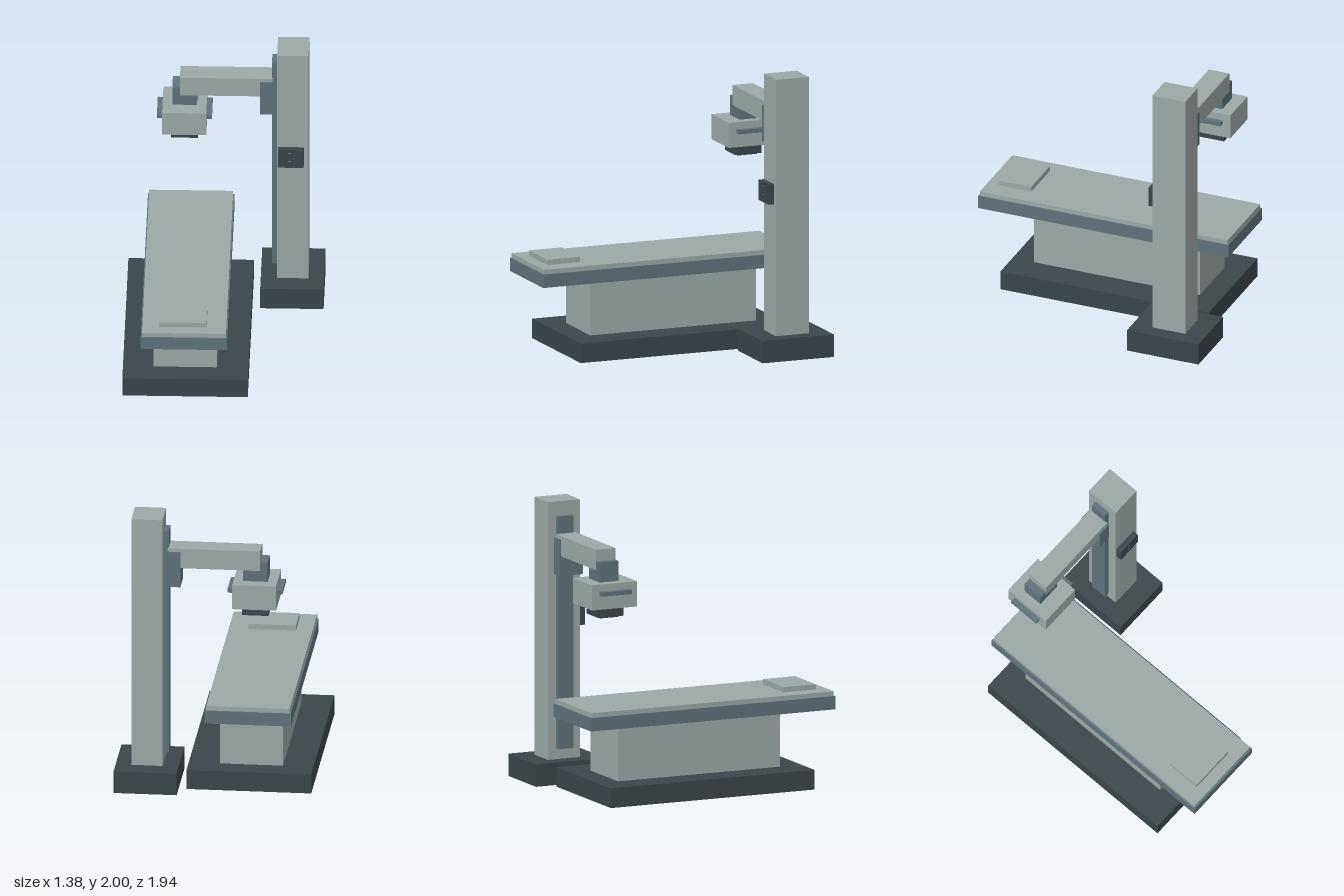
import * as THREE from 'three';

function material(name, color) {
  const m = new THREE.MeshStandardMaterial({ color });
  m.name = name;
  return m;
}

export function createModel() {
  const light = material('lightGrey', 0x9ca8a6);
  const slate = material('slateBlue', 0x60727a);
  const dark = material('charcoal', 0x3a454a);

  const model = new THREE.Group();
  model.name = 'xrayTableAndStand';

  const assembly = (name) => {
    const g = new THREE.Group();
    g.name = name;
    model.add(g);
    return g;
  };

  // Box given by its extents along each axis
  const box = (parent, name, mat, [x0, x1], [y0, y1], [z0, z1]) => {
    const mesh = new THREE.Mesh(new THREE.BoxGeometry(x1 - x0, y1 - y0, z1 - z0), mat);
    mesh.position.set((x0 + x1) / 2, (y0 + y1) / 2, (z0 + z1) / 2);
    mesh.name = name;
    parent.add(mesh);
  };

  // Patient table
  const table = assembly('table');
  box(table, 'tableBase', dark, [-0.69, 0.19], [0, 0.14], [-0.84, 0.745]);
  box(table, 'tablePedestal', light, [-0.475, -0.03], [0.14, 0.53], [-0.68, 0.58]);
  box(table, 'tableFrame', slate, [-0.555, 0.052], [0.53, 0.625], [-0.93, 0.972]);
  box(table, 'mattress', light, [-0.546, 0.043], [0.625, 0.658], [-0.921, 0.963]);
  box(table, 'pillow', light, [-0.43, -0.095], [0.658, 0.695], [0.63, 0.88]);

  // Column stand with vertical rail
  const stand = assembly('stand');
  box(stand, 'standBase', dark, [0.245, 0.69], [0, 0.16], [-0.972, -0.428]);
  box(stand, 'column', light, [0.36, 0.58], [0.16, 2], [-0.825, -0.575]);
  box(stand, 'rail', slate, [0.322, 0.36], [0.237, 1.897], [-0.762, -0.642]);

  // Control panel on the front of the column, with two small indicators
  box(stand, 'controlPanel', dark, [0.368, 0.547], [1.1, 1.245], [-0.575, -0.533]);
  for (const y of [1.152, 1.214]) {
    box(stand, 'indicator', light, [0.441, 0.459], [y, y + 0.004], [-0.533, -0.531]);
  }

  // Sliding carriage and horizontal arm
  const arm = assembly('arm');
  box(arm, 'carriage', slate, [0.238, 0.33], [1.49, 1.75], [-0.79, -0.612]);
  box(arm, 'crossArm', light, [-0.323, 0.328], [1.63, 1.775], [-0.78, -0.625]);

  // Tube head hanging from the arm
  const head = assembly('tubeHead');
  box(head, 'headMount', slate, [-0.376, -0.203], [1.55, 1.693], [-0.777, -0.628]);
  box(head, 'headHousing', light, [-0.445, -0.135], [1.37, 1.55], [-0.867, -0.517]);
  box(head, 'collimator', dark, [-0.383, -0.197], [1.3, 1.37], [-0.792, -0.592]);
  box(head, 'collimatorWindow', dark, [-0.36, -0.22], [1.29, 1.3], [-0.765, -0.62]);
  box(head, 'rightHandle', slate, [-0.483, -0.445], [1.47, 1.5], [-0.808, -0.574]);
  box(head, 'leftHandle', slate, [-0.135, -0.097], [1.47, 1.5], [-0.808, -0.574]);

  return model;
}
